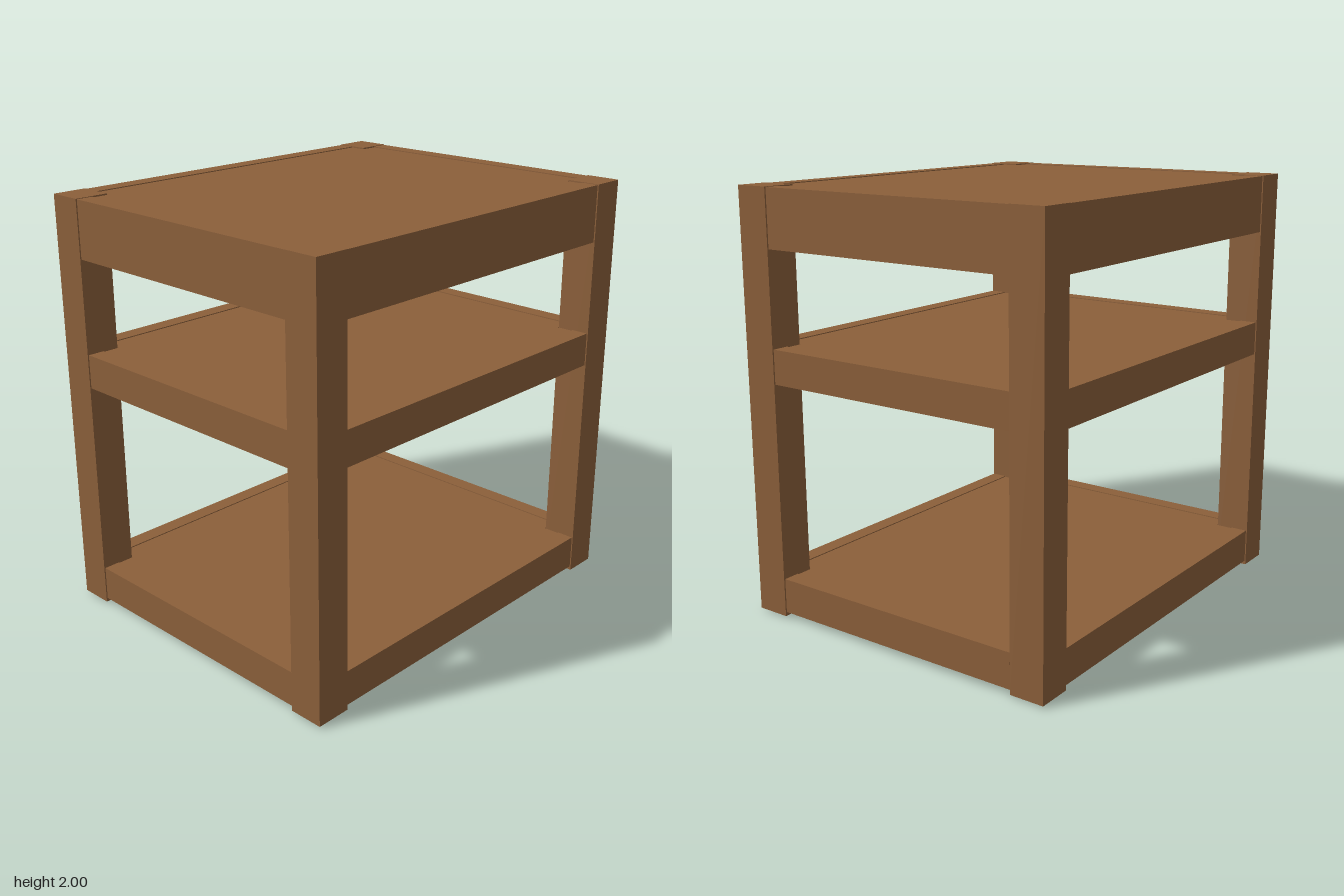
import * as THREE from 'three';

export function createModel() {
  const root = new THREE.Group();
  root.name = 'shelfTable';

  const wood = new THREE.MeshStandardMaterial({ color: 0x8b5f3a });
  wood.name = 'brown wood';
  const metal = new THREE.MeshStandardMaterial({ color: 0x484b4e });
  metal.name = 'dark grey metal';

  const add = (name, geometry, material, x, y, z) => {
    const mesh = new THREE.Mesh(geometry, material);
    mesh.name = name;
    mesh.position.set(x, y, z);
    root.add(mesh);
    return mesh;
  };

  const X = 1, Z = 0.815;          // outer half sizes
  const LEG = 0.165, RAIL = 0.08;  // leg width, rail thickness
  const inX = X - LEG, inZ = Z - LEG;
  const gap = 0.003;

  // Square legs standing on small dark foot pads
  const legGeo = new THREE.BoxGeometry(LEG, 1.99, LEG);
  const footGeo = new THREE.BoxGeometry(0.11, 0.01, 0.11);
  for (const sx of [-1, 1]) for (const sz of [-1, 1]) {
    const x = sx * (X - LEG / 2), z = sz * (Z - LEG / 2);
    add('leg', legGeo, wood, x, 1.005, z);
    add('footPad', footGeo, metal, x, 0.005, z);
  }

  // Board outline with the four corners cut away around the legs
  const px = X - RAIL - 0.005, pz = Z - RAIL - 0.005;
  const nx = inX - gap, nz = inZ - gap;
  const outline = new THREE.Shape([
    [nx, -pz], [nx, -nz], [px, -nz], [px, nz], [nx, nz], [nx, pz],
    [-nx, pz], [-nx, nz], [-px, nz], [-px, -nz], [-nx, -nz], [-nx, -pz],
  ].map(([x, z]) => new THREE.Vector2(x, z)));
  const BOARD = 0.075;
  const boardGeo = new THREE.ExtrudeGeometry(outline, { depth: BOARD, bevelEnabled: false });
  boardGeo.rotateX(-Math.PI / 2);

  // Diagonal bolt with a hexagonal nut, lying along +x
  const boltGeo = new THREE.CylinderGeometry(0.01, 0.01, 0.08, 10).rotateZ(Math.PI / 2);
  const nutGeo = new THREE.CylinderGeometry(0.022, 0.022, 0.018, 6).rotateZ(Math.PI / 2);

  // Three levels: a rail frame around each board
  const levels = [
    ['lower', 0.03, 0.195],
    ['middle', 1.125, 1.285],
    ['top', 1.73, 1.998],
  ];
  for (const [level, y0, y1] of levels) {
    const h = y1 - y0, y = (y0 + y1) / 2;
    const longRail = new THREE.BoxGeometry(2 * (inX - gap), h, RAIL);
    const sideRail = new THREE.BoxGeometry(RAIL, h, 2 * (inZ - gap));
    for (const s of [-1, 1]) {
      add(level + (s > 0 ? 'FrontRail' : 'BackRail'), longRail, wood, 0, y, s * (Z - 0.004 - RAIL / 2));
      add(level + (s > 0 ? 'LeftRail' : 'RightRail'), sideRail, wood, s * (X - 0.004 - RAIL / 2), y, 0);
    }
    add(level + 'Board', boardGeo, wood, 0, y1 - BOARD - 0.004, 0);

    // Bolts at the inner corners of the legs, under the board
    for (const sx of [-1, 1]) for (const sz of [-1, 1]) {
      const by = y0 + (h - BOARD) / 2;
      const turn = Math.atan2(sz, -sx);
      add('cornerBolt', boltGeo, metal, sx * (inX - 0.015), by, sz * (inZ - 0.015)).rotation.y = turn;
      add('cornerNut', nutGeo, metal, sx * (inX - 0.022), by, sz * (inZ - 0.022)).rotation.y = turn;
    }
  }
  return root;
}
